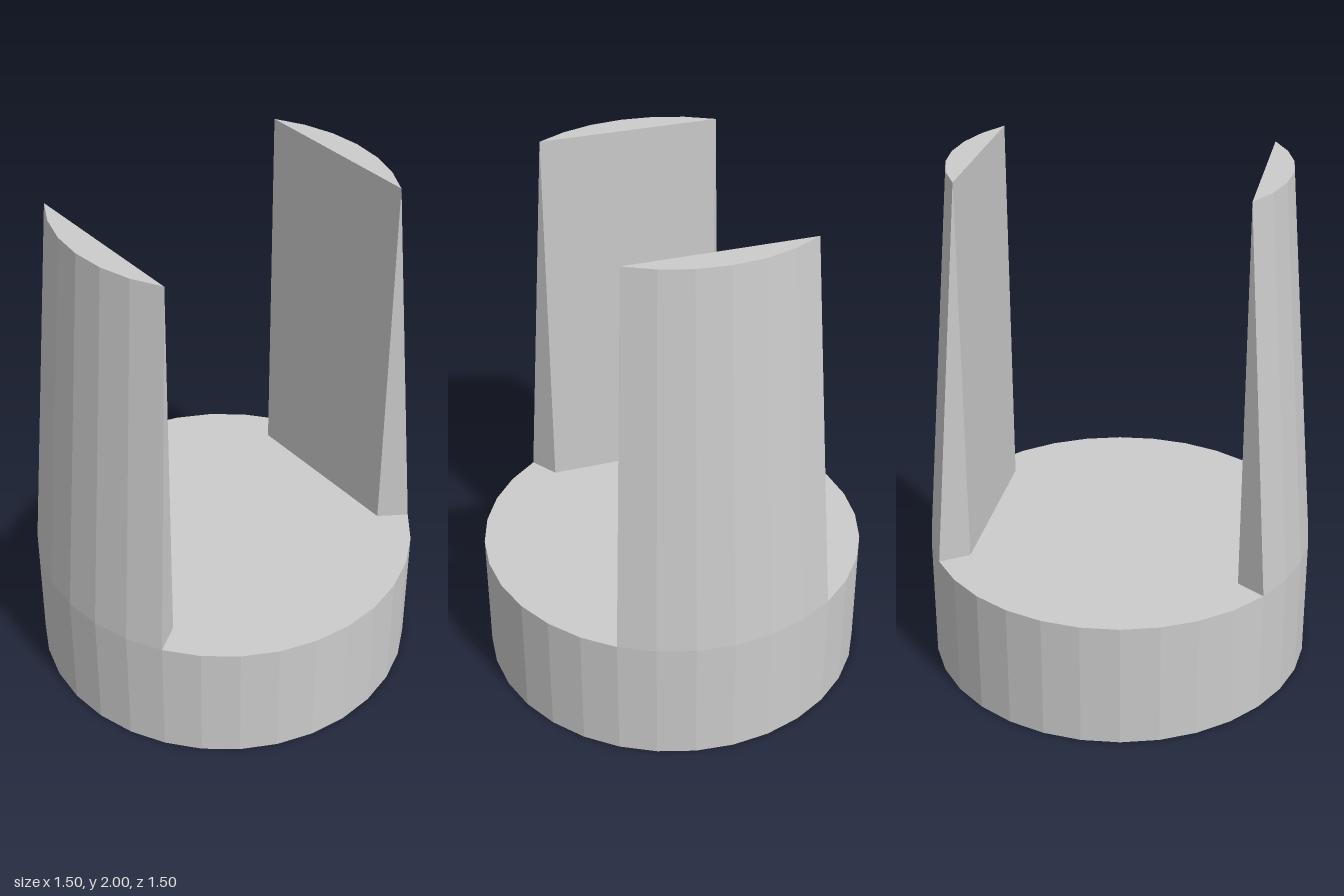
import * as THREE from 'three';

const SIDES = 32, BASE_R = 0.75, TOP_R = 0.625, BASE_H = 0.5, PRONG_H = 1.5;
const STEP = (2 * Math.PI) / SIDES;

// Prong: tapering rounded outside, upright flat inside
function prongGeometry() {
  const at = (r, i) => new THREE.Vector2(r * Math.cos(i * STEP), r * Math.sin(i * STEP));
  const outline = [at(TOP_R, -3)];
  for (let i = -3; i <= 3; i++) outline.push(at(BASE_R, i));
  outline.push(at(TOP_R, 3));

  const geo = new THREE.ExtrudeGeometry(new THREE.Shape(outline), { depth: PRONG_H, bevelEnabled: false });
  geo.rotateX(-Math.PI / 2);

  // Draw the outer arc in at the top so its ends meet the flat inner face
  const p = geo.attributes.position;
  for (let i = 0; i < p.count; i++) {
    const r = Math.hypot(p.getX(i), p.getZ(i));
    if (p.getY(i) > PRONG_H / 2 && r > 0.7) {
      p.setX(i, p.getX(i) * TOP_R / r);
      p.setZ(i, p.getZ(i) * TOP_R / r);
    }
  }
  geo.computeVertexNormals();
  return geo;
}

export function createModel() {
  const model = new THREE.Group();
  model.name = 'twoProngedHolder';
  const material = new THREE.MeshStandardMaterial({ color: 0xcccccc, flatShading: true });

  // Round base
  const base = new THREE.Mesh(new THREE.CylinderGeometry(BASE_R, BASE_R, BASE_H, SIDES), material);
  base.name = 'base';
  base.position.y = BASE_H / 2;
  model.add(base);

  // Two facing prongs
  const geo = prongGeometry();
  ['leftProng', 'rightProng'].forEach((name, i) => {
    const prong = new THREE.Mesh(geo, material);
    prong.name = name;
    prong.position.y = BASE_H;
    prong.rotation.y = i * Math.PI;
    model.add(prong);
  });
  return model;
}
